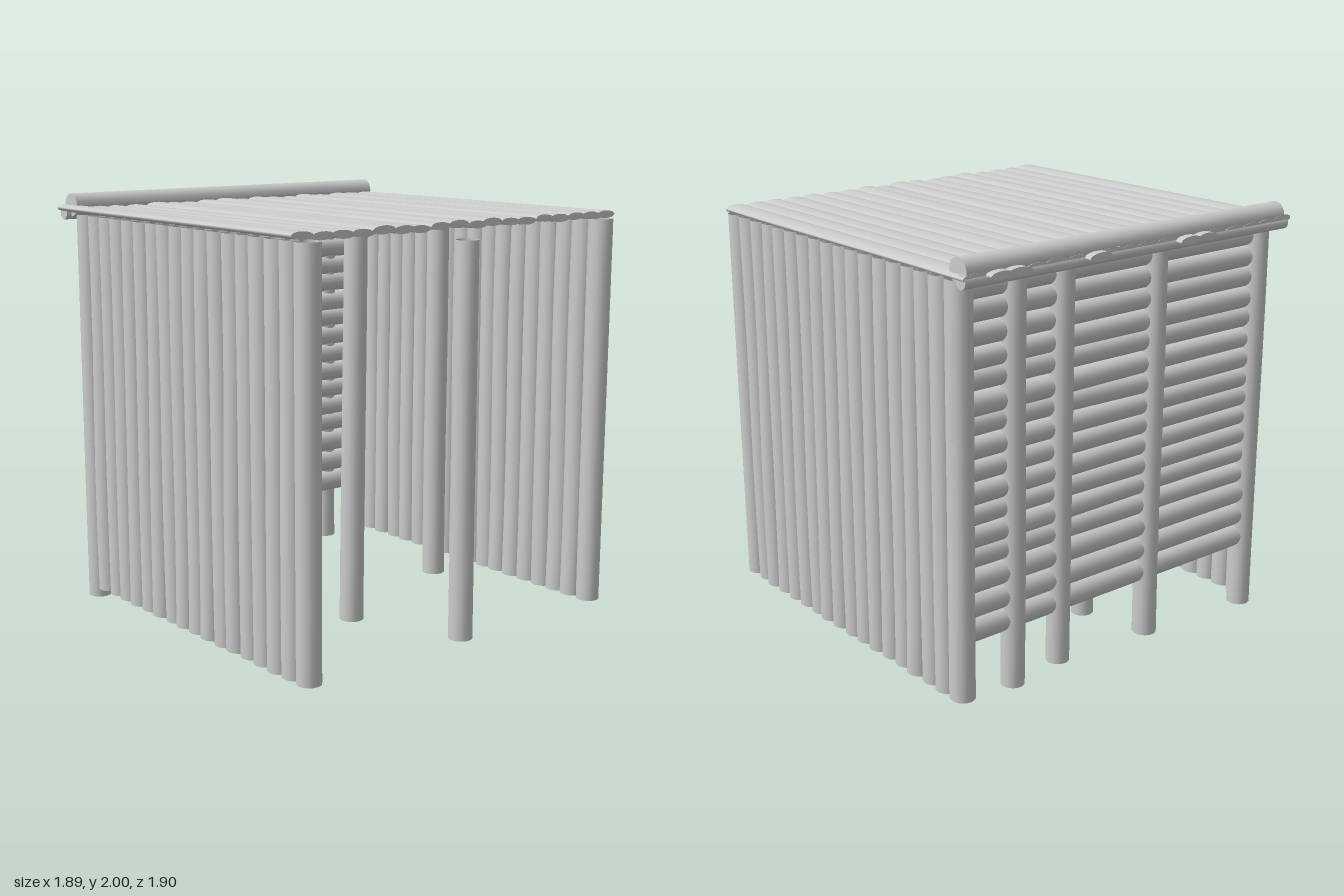
import * as THREE from 'three';

const material = new THREE.MeshStandardMaterial({ color: 0xcccccc, side: THREE.DoubleSide });

// Small seeded generator, returns -1..1
function makeRandom(seed) {
  let s = seed;
  return () => {
    s = (s * 16807) % 2147483647;
    return (s / 2147483647) * 2 - 1;
  };
}
const UP = new THREE.Vector3(0, 1, 0);

export function createModel() {
  const rand = makeRandom(4711);
  const model = new THREE.Group();
  model.name = 'logShelter';

  function addGroup(name) {
    const group = new THREE.Group();
    group.name = name;
    model.add(group);
    return group;
  }

  // A hollow, slightly bent and tapered log running from a to b
  function addLog(parent, name, a, b, radius, { bend = 0.005, taper = 0.04, flat = 1, closed = false } = {}) {
    const start = new THREE.Vector3(...a);
    const axis = new THREE.Vector3(...b).sub(start);
    const length = axis.length();
    const t = taper * rand();
    const geometry = new THREE.CylinderGeometry(radius * (1 + t), radius * (1 - t), length, 18, 6, !closed);
    const bx = bend * rand();
    const bz = bend * rand();
    const p = geometry.attributes.position;
    for (let i = 0; i < p.count; i++) {
      const k = Math.sin((p.getY(i) / length + 0.5) * Math.PI * 2);
      p.setX(i, p.getX(i) + bx * k);
      p.setZ(i, (p.getZ(i) + bz * k) * flat);
    }
    geometry.computeVertexNormals();
    const mesh = new THREE.Mesh(geometry, material);
    mesh.name = name;
    mesh.position.copy(start).addScaledVector(axis, 0.5);
    mesh.quaternion.setFromUnitVectors(UP, axis.normalize());
    parent.add(mesh);
    return mesh;
  }

  // Side walls of upright logs
  const sideCount = 18;
  for (const [name, x] of [['leftWall', 0.88], ['rightWall', -0.845]]) {
    const wall = addGroup(name);
    for (let i = 0; i < sideCount; i++) {
      const z = 0.888 - (i * 1.69) / (sideCount - 1);
      const inner = i > 0 && i < sideCount - 1 ? 1 : 0;
      addLog(wall, 'wallLog',
        [x + 0.004 * rand() * inner, 0.06, z + 0.006 * rand() * inner],
        [x + 0.004 * rand() * inner, 1.9, z + 0.006 * rand() * inner],
        0.056, { bend: 0.004 * inner });
    }
  }

  // Back wall of lying logs, the three lowest ones thicker
  const backWall = addGroup('backWall');
  for (let i = 0; i < 16; i++) {
    const low = i < 3;
    const y = low ? 0.358 + i * 0.113 : 0.69 + (i - 3) * 0.0965;
    const tilt = low ? 0 : 0.006;
    addLog(backWall, 'backLog',
      [-0.83, y + tilt * rand(), -0.79], [0.86, y + tilt * rand(), -0.79],
      low ? 0.058 : 0.051, { bend: low ? 0 : 0.003, taper: low ? 0 : 0.06 });
  }

  // Posts: x, z, bottom, top
  const backPosts = addGroup('backPosts');
  for (const [x, z, bottom, top] of [
    [-0.84, -0.815, 0, 1.9], [-0.19, -0.815, 0.04, 1.9], [0.35, -0.815, 0.07, 1.9],
    [0.61, -0.815, 0.04, 1.9], [0.88, -0.81, 0.06, 1.9],
  ]) addLog(backPosts, 'backPost', [x, bottom, z], [x, top, z], 0.055, { bend: 0.004 });

  const innerPosts = addGroup('innerPosts');
  for (const [x, z, bottom, top, lean] of [
    [0.13, 0.78, 0, 1.84, 0], [0.59, 0.1, 0.055, 1.9, 0], [-0.19, 0.39, 0.06, 1.91, 0.01],
    [-0.1, -0.48, 0.04, 1.88, 0], [-0.6, -0.18, 0, 1.84, 0], [-0.58, 0.5, 0.07, 1.84, -0.01],
  ]) addLog(innerPosts, 'innerPost', [x - lean, bottom, z], [x + lean, top, z], 0.055, { bend: 0.004 });

  // Roof of flattened slabs, a few of them sticking out at the back
  const roof = addGroup('roof');
  const slabCount = 18;
  const longSlabs = [5, 6, 11, 15, 16];
  for (let i = 0; i < slabCount; i++) {
    const x = -0.89 + (i * 1.775) / (slabCount - 1);
    const inner = i > 0 && i < slabCount - 1 ? 1 : 0;
    const y = 1.922 + 0.005 * rand();
    const back = longSlabs.includes(i) ? -0.95 : -0.915;
    const slab = addLog(roof, 'roofSlab',
      [x + 0.01 * rand() * inner, y, back], [x + 0.01 * rand() * inner, y, 0.915],
      0.058, { bend: 0.003, taper: 0.06, flat: 0.3, closed: true });
    slab.rotateY(0.06 * rand());
  }

  // Beam below the slab ends and the log lying on top of them
  addLog(model, 'backBeam', [-0.93, 1.905, -0.89], [0.935, 1.905, -0.89], 0.03, { bend: 0, taper: 0, closed: true });
  addLog(model, 'roofLog', [-0.905, 1.945, -0.86], [0.925, 1.945, -0.86], 0.055, { bend: 0, taper: 0, closed: true });

  return model;
}
